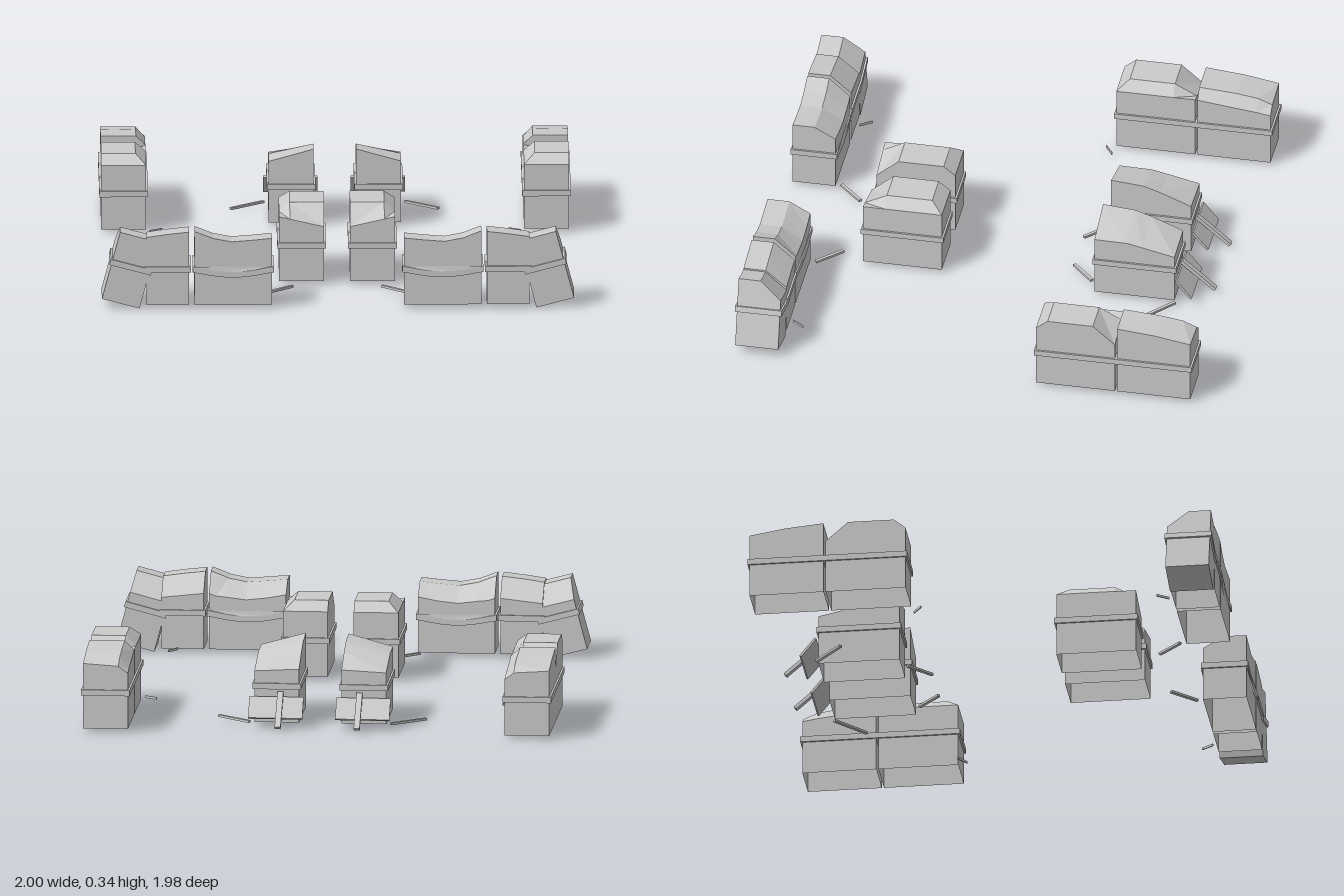
import * as THREE from 'three';

const FLOOR = 0.02;
const mat = new THREE.MeshStandardMaterial({ color: 0xcccccc, flatShading: true, side: THREE.DoubleSide });

function add(parent, name, geo) {
  const mesh = new THREE.Mesh(geo, mat);
  mesh.name = name;
  parent.add(mesh);
  return mesh;
}

// Skin over cross-sections (each runs floor - roof - floor), ends capped, underside open.
function loft(sections) {
  const n = sections[0].length, pos = sections.flat(2), idx = [];
  for (let s = 0; s < sections.length - 1; s++)
    for (let i = 0; i < n - 1; i++) {
      const a = s * n + i, b = a + n;
      idx.push(a, a + 1, b, a + 1, b + 1, b);
    }
  const last = (sections.length - 1) * n;
  for (let i = 1; i < n - 1; i++) idx.push(0, i + 1, i, last, last + i, last + i + 1);
  const geo = new THREE.BufferGeometry();
  geo.setAttribute('position', new THREE.Float32BufferAttribute(pos, 3));
  geo.setIndex(idx);
  const flat = geo.toNonIndexed();
  flat.computeVertexNormals();
  return flat;
}

// Section across x at a given z, from roof points [x, y].
const acrossX = (z, roof, floor = FLOOR) => [
  [roof[0][0], floor, z], ...roof.map(([x, y]) => [x, y, z]), [roof.at(-1)[0], floor, z]];
// Section across z at a given x, from roof points [z, y].
const acrossZ = (x, roof, floor = FLOOR) => [
  [x, floor, roof[0][0]], ...roof.map(([z, y]) => [x, y, z]), [x, floor, roof.at(-1)[0]]];

// Raised belt around a rectangular building; dip(x) lowers it locally.
function belt(x0, x1, z0, z1, dip = () => 0) {
  const ring = (x0, x1, z0, z1) => {
    const pts = [], n = 10;
    for (let i = 0; i <= n; i++) pts.push(new THREE.Vector2(x0 + (x1 - x0) * i / n, z0));
    for (let i = n; i >= 0; i--) pts.push(new THREE.Vector2(x0 + (x1 - x0) * i / n, z1));
    return pts;
  };
  const o = 0.008;
  const shape = new THREE.Shape(ring(x0 - o, x1 + o, z0 - o, z1 + o));
  shape.holes.push(new THREE.Path(ring(x0, x1, z0, z1)));
  const geo = new THREE.ExtrudeGeometry(shape, { depth: 0.025, bevelEnabled: false });
  geo.rotateX(Math.PI / 2).translate(0, 0.188, 0);
  const p = geo.attributes.position;
  for (let i = 0; i < p.count; i++) p.setY(i, p.getY(i) - dip(p.getX(i)));
  geo.computeVertexNormals();
  return geo;
}

// Straight plank between two points.
function plank(parent, name, a, b, width = 0.014, thick = 0.01) {
  const from = new THREE.Vector3(...a), to = new THREE.Vector3(...b);
  const mesh = add(parent, name, new THREE.BoxGeometry(width, thick, from.distanceTo(to)));
  mesh.position.copy(from).lerp(to, 0.5);
  mesh.lookAt(to);
}

// Hut with a hipped roof, one upright long side and a skewed steep end.
function hipHut(name) {
  const hut = new THREE.Group();
  hut.name = name;
  const top = [[0.055, 0.34], [0.2, 0.34], [0.245, 0.3]];
  add(hut, 'hutShell', loft([
    acrossX(0.235, [[0.055, 0.3], [0.2, 0.3], [0.245, 0.3]]),
    acrossX(0.285, top),
    acrossX(0.48, top),
    acrossX(0.575, [[0.055, 0.257], [0.2, 0.29], [0.245, 0.3]])]));
  add(hut, 'hutBelt', belt(0.055, 0.245, 0.235, 0.575));
  return hut;
}

function rampHut() {
  const hut = new THREE.Group();
  hut.name = 'rampHut';
  // z, inner roof height, outer roof height
  const rows = [[-0.775, 0.25, 0.24], [-0.64, 0.305, 0.27], [-0.57, 0.328, 0.285], [-0.43, 0.34, 0.287]];
  add(hut, 'rampHutShell', loft(rows.map(([z, a, b]) => acrossX(z, [[0.09, a], [0.28, b]]))));
  add(hut, 'rampHutBelt', belt(0.09, 0.28, -0.775, -0.43));
  plank(hut, 'ramp', [0.185, 0.13, -0.785], [0.185, 0.05, -0.85], 0.23);
  plank(hut, 'rampBeam', [0.168, 0.15, -0.785], [0.168, 0.025, -0.93], 0.025, 0.015);
  return hut;
}

function sideHouse() {
  const house = new THREE.Group();
  house.name = 'sideHouse';
  const front = hipHut('sideHouseFront');
  front.position.set(1.045, 0, -0.08);
  front.rotation.y = Math.PI;
  house.add(front);
  // z, eave, shoulder, outer edge
  const rows = [[-0.98, 0.26, 0.29, 0.3], [-0.92, 0.27, 0.315, 0.31], [-0.83, 0.28, 0.328, 0.325], [-0.665, 0.3, 0.34, 0.34]];
  add(house, 'sideHouseRear', loft(rows.map(([z, a, b, c]) => acrossX(z, [[0.8, a], [0.84, b], [0.99, c]]))));
  add(house, 'sideHouseRearBelt', belt(0.8, 0.99, -0.98, -0.665));
  return house;
}

function frontHouse() {
  const house = new THREE.Group();
  house.name = 'frontHouse';
  const roof = (top, eave) => [[0.795, eave], [0.885, top], [0.98, top]];
  const shell = (rows, floor) => loft(rows.map(([x, t, e]) => acrossZ(x, roof(t, e), floor)));
  // Sagging inner half
  add(house, 'saggingShell', shell([[0.28, 0.31, 0.26], [0.36, 0.302, 0.245], [0.45, 0.295, 0.235],
    [0.53, 0.31, 0.245], [0.58, 0.33, 0.25], [0.607, 0.34, 0.26]]));
  add(house, 'saggingBelt', belt(0.28, 0.607, 0.795, 0.98,
    x => 0.022 * Math.max(0, Math.sin(Math.PI * (x - 0.28) / 0.327))));
  // Upright part of the outer half
  add(house, 'uprightShell', shell([[0.63, 0.338, 0.26], [0.72, 0.328, 0.25], [0.81, 0.315, 0.24]]));
  add(house, 'uprightBelt', belt(0.63, 0.81, 0.795, 0.98));
  // Broken end leaning inwards
  const end = new THREE.Group();
  end.name = 'leaningEnd';
  end.position.set(0.84, 0.005, 0);
  end.rotation.z = 0.26;
  add(end, 'leaningShell', shell([[0, 0.3, 0.22], [0.165, 0.3, 0.22]], 0));
  add(end, 'leaningFloor', new THREE.BoxGeometry(0.165, 0.004, 0.185)).position.set(0.0825, 0.002, 0.8875);
  add(end, 'leaningBelt', belt(0, 0.165, 0.795, 0.98)).position.y = -0.01;
  house.add(end);
  return house;
}

function buildHalf(name) {
  const half = new THREE.Group();
  half.name = name;
  half.add(hipHut('centreHut'), rampHut(), sideHouse(), frontHouse());
  // Loose planks on the ground
  const y = 0.022;
  [[0.19, 0.67, 0.29, 0.77, 0.014], [0.105, -0.31, 0.205, -0.405, 0.014], [0.3, -0.78, 0.44, -0.66, 0.014],
    [0.74, 0.78, 0.775, 0.73, 0.005], [0.735, -0.31, 0.785, -0.275, 0.005]]
    .forEach(([x0, z0, x1, z1, w]) => plank(half, 'loosePlank', [x0, y, z0], [x1, y, z1], w));
  return half;
}

export function createModel() {
  const model = new THREE.Group();
  model.name = 'settlement';
  const left = buildHalf('leftHalf'), right = buildHalf('rightHalf');
  right.scale.x = -1;
  model.add(left, right);
  return model;
}
